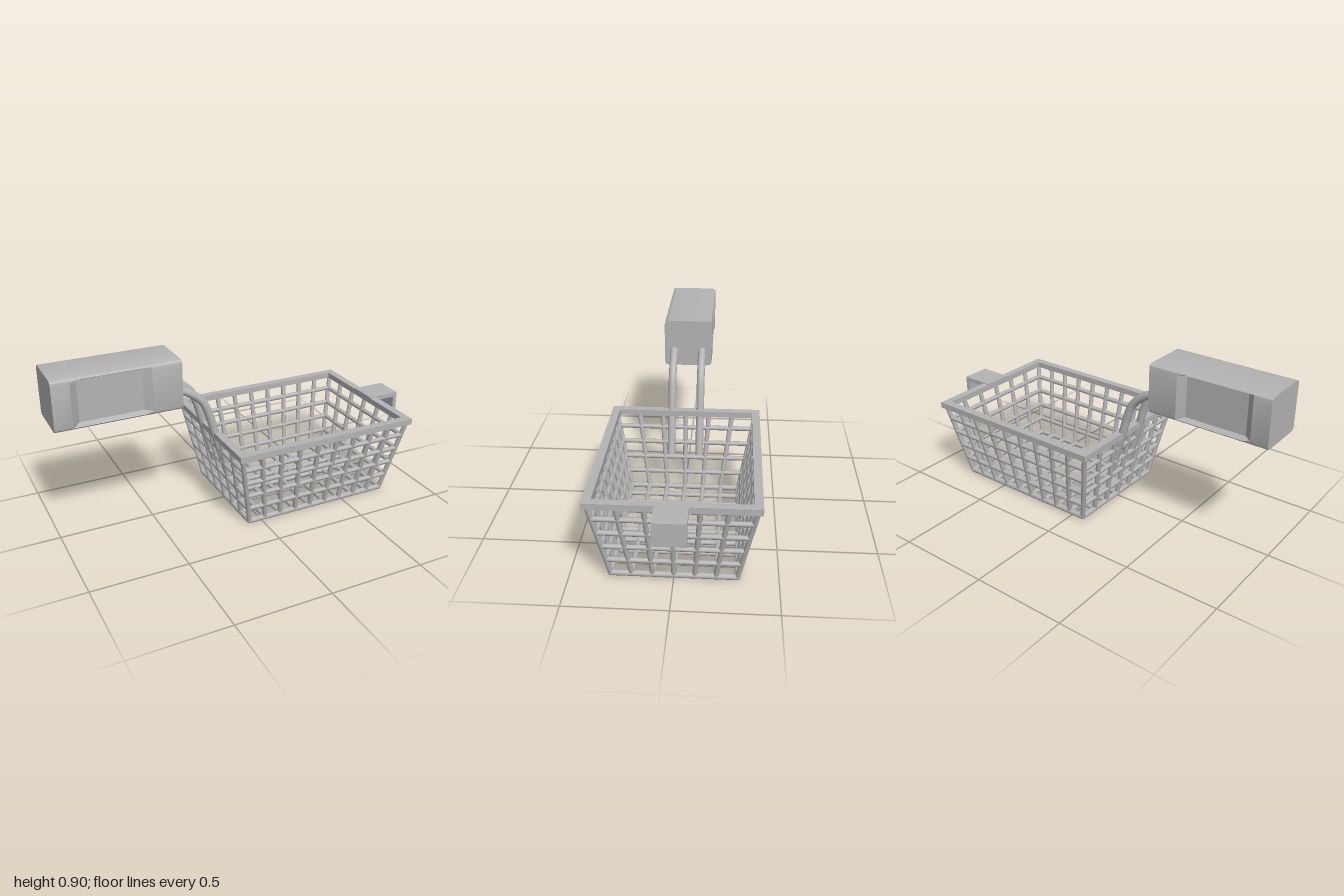
import * as THREE from 'three';
import { toCreasedNormals } from 'three/addons/utils/BufferGeometryUtils.js';

const steel = new THREE.MeshStandardMaterial({ color: 0xb4b4b4 });
steel.name = 'grey steel';

const CX = 0.341; // basket centre in x
const LOW = { y: 0.017, x: 0.412, z: 0.302 }; // wire half sizes at the floor
const HIGH = { y: 0.44, x: 0.496, z: 0.386 }; // and at the rim
const WIRE = 0.0128;

function add(parent, name, geometry, x = 0, y = 0, z = 0) {
  const mesh = new THREE.Mesh(geometry, steel);
  mesh.name = name;
  mesh.position.set(x, y, z);
  parent.add(mesh);
  return mesh;
}

// straight round wire between two points
function wire(parent, name, a, b, r = WIRE) {
  const dir = b.clone().sub(a);
  const mesh = add(parent, name, new THREE.CylinderGeometry(r, r, dir.length(), 12));
  mesh.position.copy(a).add(b).multiplyScalar(0.5);
  mesh.quaternion.setFromUnitVectors(new THREE.Vector3(0, 1, 0), dir.normalize());
}

// point on the tapered basket; u and v run from -1 to 1
function basketPoint(u, v, y) {
  const t = (y - LOW.y) / (HIGH.y - LOW.y);
  return new THREE.Vector3(
    CX + u * THREE.MathUtils.lerp(LOW.x, HIGH.x, t), y,
    v * THREE.MathUtils.lerp(LOW.z, HIGH.z, t));
}

function makeBasket() {
  const basket = new THREE.Group();
  basket.name = 'basket';
  const P = basketPoint;

  // horizontal rings
  for (const y of [LOW.y, 0.104, 0.189, 0.274, 0.359]) {
    const r = y === LOW.y ? 0.015 : WIRE;
    for (const s of [-1, 1]) {
      wire(basket, 'ringWire', P(-1, s, y), P(1, s, y), r);
      wire(basket, 'ringWire', P(s, -1, y), P(s, 1, y), r);
      for (const t of [-1, 1]) {
        const c = P(s, t, y);
        add(basket, 'ringCorner', new THREE.SphereGeometry(r, 12, 8), c.x, c.y, c.z);
      }
    }
  }

  // upright wires, and the floor wires that join them
  for (let i = 0; i <= 9; i++) {
    const u = -1 + (2 * i) / 9;
    for (const s of [-1, 1]) wire(basket, 'sideWire', P(u, s, LOW.y), P(u, s, HIGH.y));
    if (i > 0 && i < 9) wire(basket, 'floorWire', P(u, -1, LOW.y), P(u, 1, LOW.y));
  }
  for (let i = 1; i < 6; i++) {
    const v = -1 + i / 3;
    for (const s of [-1, 1]) wire(basket, 'endWire', P(s, v, LOW.y), P(s, v, HIGH.y));
    wire(basket, 'floorWire', P(-1, v, LOW.y), P(1, v, LOW.y));
  }

  // flat rim frame
  const rect = (Type, w, d) => new Type([[-w, -d], [w, -d], [w, d], [-w, d]]
    .map(([x, y]) => new THREE.Vector2(x, y)));
  const frame = rect(THREE.Shape, 0.516, 0.407);
  frame.holes.push(rect(THREE.Path, 0.474, 0.365));
  const rim = new THREE.ExtrudeGeometry(frame, { depth: 0.032, bevelEnabled: false });
  rim.rotateX(-Math.PI / 2);
  add(basket, 'rim', rim, CX, 0.428, 0);
  return basket;
}

// hanging hook: an L-shaped strip
function makeHook() {
  const shape = new THREE.Shape([[0.815, 0.44], [0.977, 0.44], [0.977, 0.346], [1, 0.346],
    [1, 0.465], [0.815, 0.465]].map(([x, y]) => new THREE.Vector2(x, y)));
  return new THREE.ExtrudeGeometry(shape, { depth: 0.156, bevelEnabled: false });
}

// grip: rounded sections lofted along x, with both sides pressed in between
function makeGrip() {
  const corner = [[0.132, 0.107], [0.129, 0.12], [0.122, 0.127], [0.11, 0.13]];
  const section = (x, depth) => {
    const q = corner.map(([z, y], i) => [i === 0 ? z - depth : z, y]);
    const back = [...q].reverse();
    return [
      ...q, ...back.map(([z, y]) => [-z, y]),
      ...q.map(([z, y]) => [-z, -y]), ...back.map(([z, y]) => [z, -y]),
    ].map(([z, y]) => [x, y + 0.776, z]);
  };
  const rows = [[-1, 0], [-0.91, 0], [-0.872, 0.032], [-0.548, 0.032], [-0.51, 0], [-0.355, 0]]
    .map(([x, depth]) => section(x, depth));
  const pos = [];
  const tri = (a, b, c) => pos.push(...a, ...b, ...c);
  const n = rows[0].length;
  const first = rows[0], last = rows[rows.length - 1];
  for (let j = 0; j < n; j++) {
    const k = (j + 1) % n;
    for (let i = 0; i + 1 < rows.length; i++) {
      tri(rows[i][j], rows[i + 1][j], rows[i + 1][k]);
      tri(rows[i][j], rows[i + 1][k], rows[i][k]);
    }
    tri([-1, 0.776, 0], first[j], first[k]);
    tri([-0.355, 0.776, 0], last[k], last[j]);
  }
  // wind every face outwards
  const probe = new THREE.Vector3().fromArray(pos, 0);
  const e1 = new THREE.Vector3().fromArray(pos, 3).sub(probe);
  const e2 = new THREE.Vector3().fromArray(pos, 6).sub(probe);
  const outward = e1.cross(e2).dot(probe.clone().sub(new THREE.Vector3(probe.x, 0.776, 0))) > 0;
  if (!outward) {
    for (let i = 0; i < pos.length; i += 9) {
      for (let c = 0; c < 3; c++) {
        [pos[i + 3 + c], pos[i + 6 + c]] = [pos[i + 6 + c], pos[i + 3 + c]];
      }
    }
  }
  const geometry = new THREE.BufferGeometry();
  geometry.setAttribute('position', new THREE.Float32BufferAttribute(pos, 3));
  return toCreasedNormals(geometry, 0.55);
}

export function createModel() {
  const model = new THREE.Group();
  model.name = 'wireBasket';
  model.add(makeBasket());
  add(model, 'hook', makeHook(), 0, 0, -0.078);

  const handle = new THREE.Group();
  handle.name = 'handle';
  model.add(handle);
  add(handle, 'grip', makeGrip());

  // two bent rods from the end wall up into the grip
  for (const side of [-1, 1]) {
    const path = new THREE.CatmullRomCurve3([
      [-0.092, 0.212], [-0.13, 0.34], [-0.165, 0.46], [-0.193, 0.56], [-0.225, 0.635],
      [-0.285, 0.693], [-0.355, 0.729], [-0.4, 0.745],
    ].map(([x, y]) => new THREE.Vector3(x, y, side * 0.078)));
    add(handle, 'handleRod', new THREE.TubeGeometry(path, 40, 0.0215, 16));
    const cap = add(handle, 'rodEnd', new THREE.CircleGeometry(0.0215, 16), -0.092, 0.212, side * 0.078);
    cap.quaternion.setFromUnitVectors(new THREE.Vector3(0, 0, 1), path.getTangent(0).negate());
  }
  return model;
}
